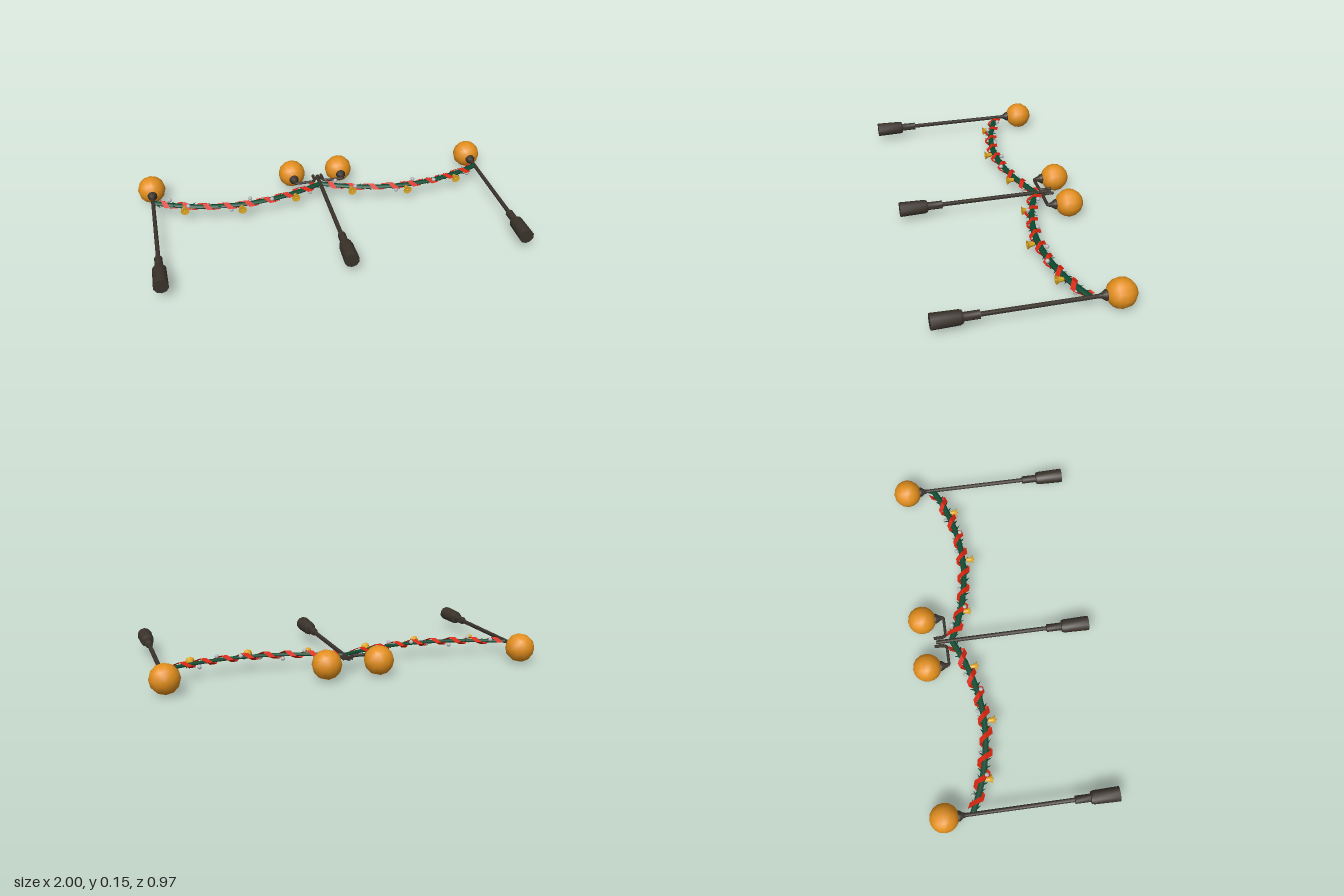
import * as THREE from 'three';
import { toCreasedNormals } from 'three/addons/utils/BufferGeometryUtils.js';

const mat = (name, color, side = THREE.FrontSide) => {
  const m = new THREE.MeshStandardMaterial({ color, side });
  m.name = name;
  return m;
};

export function createModel() {
  const iron = mat('dark iron', 0x3a332b);
  const amber = mat('amber glass', 0xe38f1d);
  const green = mat('pine green', 0x0c4a31, THREE.DoubleSide);
  const red = mat('ribbon red', 0xd8260f, THREE.DoubleSide);
  const gold = mat('bell gold', 0xdca522, THREE.DoubleSide);
  const silver = mat('silver bauble', 0xbcbcc0);

  const V = (x, y, z = 0) => new THREE.Vector3(x, y, z);
  const root = new THREE.Group();
  root.name = 'lampPostsWithGarland';
  // Built upright, then laid down so that height runs towards -z
  const set = new THREE.Group();
  set.name = 'layingSet';
  set.rotation.x = -Math.PI / 2;
  set.position.y = 0.079;
  root.add(set);

  const add = (name, geo, m, x = 0, y = 0, z = 0) => {
    const mesh = new THREE.Mesh(geo, m);
    mesh.name = name;
    mesh.position.set(x, y, z);
    set.add(mesh);
    return mesh;
  };
  const lathe = (pts, sides) => toCreasedNormals(
    new THREE.LatheGeometry(pts.map(([r, h]) => new THREE.Vector2(r, h)), sides), 0.7);

  // Posts: plinth, collar and slim pole
  const mid = 0.003;
  const post = top => lathe([[0, -0.483], [0.039, -0.483], [0.036, -0.35], [0.031, -0.336],
    [0.021, -0.334], [0.021, -0.256], [0.0115, -0.254], [0.0105, top], [0, top]], 10);
  const holder = lathe([[0, 0.298], [0.011, 0.298], [0.014, 0.31], [0.027, 0.33],
    [0.027, 0.337], [0.02, 0.352], [0, 0.352]], 10);
  const globe = new THREE.SphereGeometry(0.0755, 12, 8);
  for (const x of [-0.927, mid, 0.925]) add('post', post(x === mid ? 0.345 : 0.31), iron, x);
  for (const x of [-0.927, mid - 0.136, mid + 0.136, 0.925]) {
    add('lampHolder', holder, iron, x);
    add('lampGlobe', globe, amber, x, 0.407);
  }

  // Twin arms of the middle post
  for (const s of [-1, 1]) {
    const arm = new THREE.CurvePath();
    const corners = [V(0.136, 0.315), V(0.136, 0.29), V(0.045, 0.29), V(0.024, 0.312), V(0.023, 0.355)]
      .map(p => p.setX(p.x * s));
    arm.add(new THREE.LineCurve3(corners[0], corners[1]));
    arm.add(new THREE.LineCurve3(corners[1], corners[2]));
    arm.add(new THREE.QuadraticBezierCurve3(corners[2], V(0.025 * s, 0.29), corners[3]));
    arm.add(new THREE.LineCurve3(corners[3], corners[4]));
    add('lampArm', new THREE.TubeGeometry(arm, 32, 0.0085, 6), iron, mid);
  }
  add('armBracket', new THREE.BoxGeometry(0.05, 0.012, 0.016), iron, mid, 0.325);

  // Garland parts
  const leaf = new THREE.ConeGeometry(0.009, 0.04, 4);
  leaf.scale(1, 1, 0.5);
  leaf.translate(0, 0.02, 0);
  const bell = lathe([[0, 0.022], [0.008, 0.021], [0.012, 0.012], [0.014, -0.005],
    [0.024, -0.018], [0.019, -0.018], [0, -0.01]], 8);
  const clapper = new THREE.SphereGeometry(0.007, 6, 4);
  const bauble = new THREE.SphereGeometry(0.0115, 8, 6);
  let seed = 7;
  const rnd = () => (seed = (seed * 16807) % 2147483647) / 2147483647;

  for (const xc of [-0.461, 0.464]) {
    const at = u => V(xc + 0.46 * u, 0.145 + 0.116 * u * u);
    const slope = u => Math.atan2(0.232 * u, 0.46);
    // Offset from the sagging line: along it, across it, and towards the viewer
    const off = (u, along, across, z) => {
      const a = slope(u), p = at(u);
      return V(p.x + along * Math.cos(a) - across * Math.sin(a),
        p.y + along * Math.sin(a) + across * Math.cos(a), z);
    };

    // Bough
    const pts = Array.from({ length: 13 }, (_, i) => at(i / 6 - 1));
    const bough = new THREE.TubeGeometry(new THREE.CatmullRomCurve3(pts), 40, 0.017, 6);
    bough.scale(1, 1, 0.55);
    add('garlandBough', bough, green);

    // Pine tufts
    for (let i = 0; i < 46; i++) {
      const u = -0.97 + (1.94 * i) / 45;
      const p = at(u);
      const t = add('pineTuft', leaf, green, p.x, p.y, (rnd() - 0.5) * 0.008);
      const side = i % 2 ? 1 : -1;
      t.rotation.set((rnd() - 0.5) * 0.4, 0, slope(u) - Math.PI / 2 + side * (0.5 + rnd() * 0.6));
    }

    // Broad ribbon wound around the bough in flat folds
    const pos = [], idx = [], turns = 8, n = turns * 4;
    for (let i = 0; i <= n; i++) {
      const u = -0.95 + (1.9 * i) / n, a = (i * Math.PI) / 2;
      const reach = 0.031 + 0.006 * rnd();
      for (const w of [-0.0165, 0.0165]) {
        pos.push(...off(u, w, reach * Math.cos(a), 0.02 * Math.sin(a)).toArray());
      }
      if (i < n) idx.push(2 * i, 2 * i + 1, 2 * i + 2, 2 * i + 1, 2 * i + 3, 2 * i + 2);
    }
    let ribbon = new THREE.BufferGeometry();
    ribbon.setAttribute('position', new THREE.Float32BufferAttribute(pos, 3));
    ribbon.setIndex(idx);
    ribbon = ribbon.toNonIndexed();
    ribbon.computeVertexNormals();
    add('ribbon', ribbon, red);

    // Hanging bells
    for (const u of [-0.66, 0, 0.66]) {
      const p = at(u);
      const drop = u ? 0.036 : 0.04;
      add('bell', bell, gold, p.x, p.y - drop);
      add('bellClapper', clapper, gold, p.x, p.y - drop - 0.017);
    }

    // Baubles on alternating sides
    for (let i = 0; i < 8; i++) {
      const p = off(-0.84 + i * 0.24, 0, i % 2 ? -0.02 : 0.026, i % 4 < 2 ? 0.014 : -0.014);
      add('bauble', bauble, silver, p.x, p.y, p.z);
    }
  }
  return root;
}
